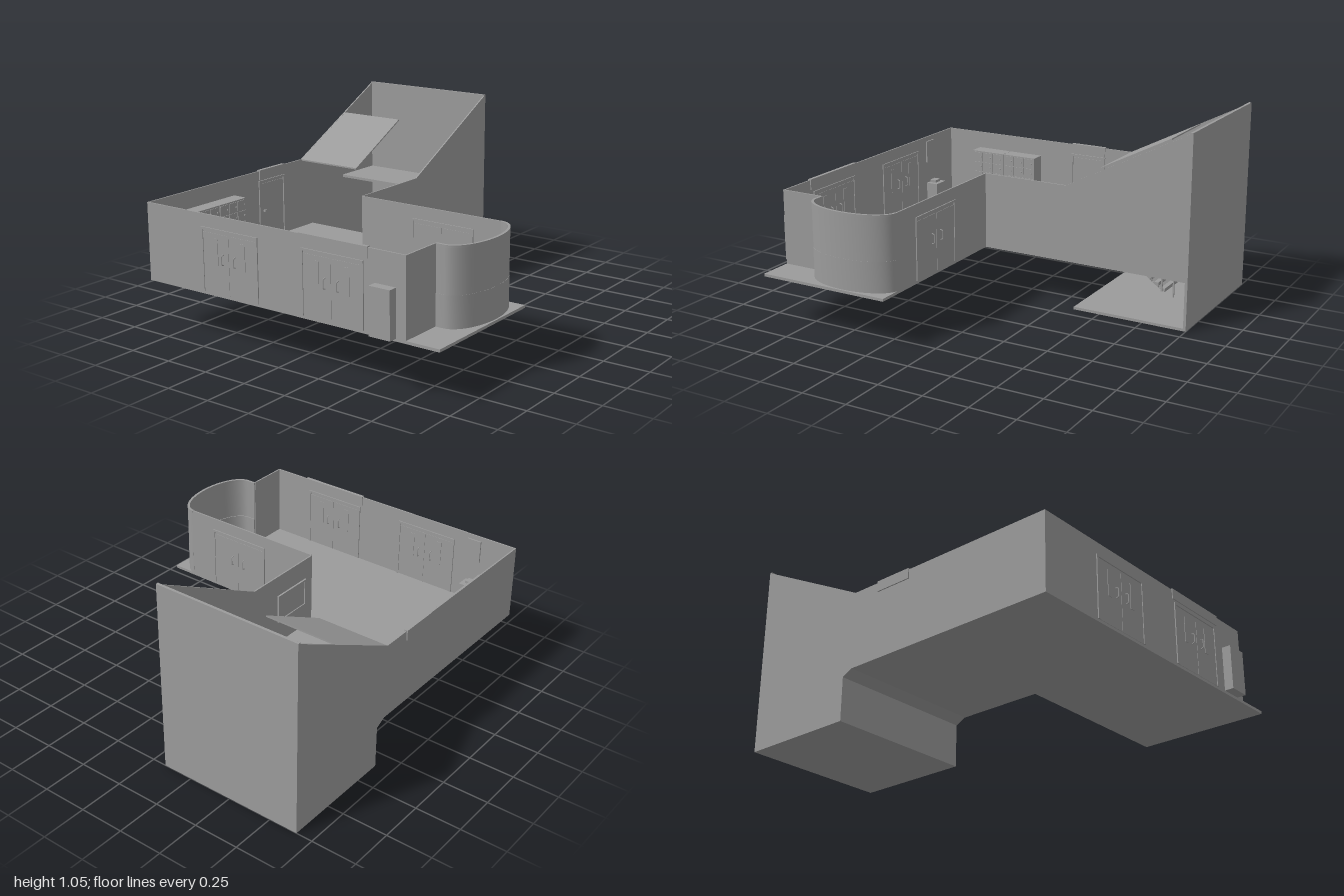
import * as THREE from 'three';
import { toCreasedNormals } from 'three/addons/utils/BufferGeometryUtils.js';

const COLOR = 0x9b9b9b;
const mat = new THREE.MeshStandardMaterial({ color: COLOR, side: THREE.DoubleSide });
const oneSided = new THREE.MeshStandardMaterial({ color: COLOR });
const FLOOR = 0.28, BASE = 0.265, TOP = 0.687, T = 0.008;

export function createModel() {
  const model = new THREE.Group();

  const add = (name, geometry, parent = model, material = mat) => {
    const mesh = new THREE.Mesh(geometry, material);
    mesh.name = name;
    parent.add(mesh);
    return mesh;
  };
  // Box given by its limits on each axis
  const box = (name, x0, x1, y0, y1, z0, z1, parent) => {
    const g = new THREE.BoxGeometry(x1 - x0, y1 - y0, z1 - z0);
    g.translate((x0 + x1) / 2, (y0 + y1) / 2, (z0 + z1) / 2);
    return add(name, g, parent);
  };
  const shapeOf = (pts) => new THREE.Shape(pts.map(([x, y]) => new THREE.Vector2(x, y)));
  // Upright slab in the xy plane
  const slab = (name, pts, z0, z1) => {
    const g = new THREE.ExtrudeGeometry(shapeOf(pts), { depth: z1 - z0, bevelEnabled: false });
    g.translate(0, 0, z0);
    return add(name, g);
  };
  // Plan outline (x, z) raised from y0 to y1
  const raised = (name, pts, y0, y1, smooth) => {
    let g = new THREE.ExtrudeGeometry(shapeOf(pts), { depth: y1 - y0, bevelEnabled: false });
    g.rotateX(Math.PI / 2).translate(0, y1, 0);
    if (smooth) g = toCreasedNormals(g, 0.6);
    return add(name, g);
  };
  const tube = (name, pts, r, parent) => {
    const path = new THREE.CurvePath();
    const v = pts.map((p) => new THREE.Vector3(...p));
    for (let i = 1; i < v.length; i++) path.add(new THREE.LineCurve3(v[i - 1], v[i]));
    return add(name, new THREE.TubeGeometry(path, (v.length - 1) * 4, r, 6), parent);
  };

  // Floors
  raised('upperFloor', [[-0.95, -0.91], [0.29, -0.91], [0.29, -0.49], [0.38, -0.49],
    [0.38, -0.08], [-0.2, -0.08], [-0.2, 0.91], [-0.95, 0.91]], BASE, FLOOR);
  box('lowerFloor', 0.35, 1, 0, 0.015, -0.91, -0.08);

  // Straight walls, rising over the stairwell
  slab('backWall', [[-0.95, BASE], [0.29, BASE], [0.35, 0.235], [0.35, 0], [1, 0],
    [1, 1.055], [0.29, TOP], [-0.95, TOP]], -0.91, -0.91 + T);
  slab('stairFrontWall', [[-0.2, BASE], [1, BASE], [1, 1.055], [0.29, TOP], [-0.2, TOP]],
    -0.08 - T, -0.08);
  box('stairEndWall', 0.985, 1, 0, 1.055, -0.91, -0.08);
  box('longWall', -0.95, -0.95 + T, BASE, TOP, -0.91, 0.725);
  box('shortFrontWall', -0.95, -0.71, BASE, TOP, 0.725 - T, 0.725);
  box('doorWall', -0.2 - T, -0.2, BASE, TOP, -0.08, 0.77);

  // Wall and sloping soffit that close the stairwell below the upper floor
  add('stairwellSideWall', new THREE.PlaneGeometry(0.83, 0.235).rotateY(-Math.PI / 2)
    .translate(0.35, 0.1175, -0.495), model, oneSided);
  add('stairwellSoffit', new THREE.PlaneGeometry(0.83, 0.067).rotateY(-Math.PI / 2)
    .rotateZ(Math.atan2(0.06, 0.03)).translate(0.32, 0.25, -0.495), model, oneSided);

  // Rounded bay: ribbon between an outer and an inner curve
  const bayCurve = (inset) => {
    const pts = [[-0.71 + inset, 0.72]];
    for (let i = 0; i <= 24; i++) {
      const a = Math.PI * (1 - i / 24);
      pts.push([-0.455 + (0.255 - inset) * Math.cos(a), 0.77 + (0.13 - inset) * Math.sin(a)]);
    }
    return pts;
  };
  const ribbon = (outer, inner) => [...bayCurve(outer), ...bayCurve(inner).reverse()];
  raised('bayWall', ribbon(0, T), FLOOR, TOP, true);
  raised('baySill', ribbon(-0.001, T + 0.005), FLOOR, 0.445, true);
  raised('bayHead', ribbon(-0.001, T + 0.005), 0.675, TOP, true);

  // Sloping ceiling over the lower flight
  slab('stairCeiling', [[0.29, TOP - 0.008], [0.29, TOP], [0.71, 0.904], [0.71, 0.896]], -0.905, -0.5);

  // Flights: saw-toothed slabs, one going up and one going down
  const flight = (name, x0, y0, rise, z0, z1) => {
    const run = 0.04, n = 8, pts = [[x0, y0]];
    for (let i = 0; i < n; i++) {
      pts.push([x0 + i * run, y0 + (i + 1) * rise], [x0 + (i + 1) * run, y0 + (i + 1) * rise]);
    }
    const end = pts[pts.length - 1];
    pts.push([end[0], end[1] - 0.02], [x0, y0 - 0.015]);
    slab(name, pts, z0, z1);
  };
  flight('upperFlight', 0.38, FLOOR, 0.03, -0.465, -0.088);
  flight('lowerFlight', 0.38, FLOOR, -0.029, -0.902, -0.5);
  box('lowerFlightTop', 0.29, 0.38, BASE, FLOOR, -0.902, -0.49);
  box('halfLanding', 0.68, 0.985, 0.505, 0.52, -0.902, -0.088);

  // Banister between the flights
  const railY = (x) => 0.385 - (x - 0.33) * 0.64;
  tube('banisterRail', [[0.33, railY(0.33), -0.48], [0.73, railY(0.73), -0.48],
    [0.77, railY(0.73), -0.48]], 0.006);
  for (let i = 0; i < 7; i++) {
    const x = 0.34 + i * 0.07;
    const foot = Math.max(0.015, FLOOR - Math.max(0, x - 0.38) * 0.78);
    box('banisterPost', x - 0.004, x + 0.004, foot, railY(Math.min(x, 0.73)), -0.484, -0.476);
  }

  // Double doors set in a wall running along z
  const doubleDoor = (name, x, zc, slits) => {
    const door = new THREE.Group();
    door.name = name;
    door.position.set(x, 0, zc);
    model.add(door);
    const w = 0.18, h = 0.62, d = 0.01;
    for (const s of [-1, 1]) {
      const z = s * w, m = s * w / 2;
      box('doorJamb', -d, d, FLOOR, h, z - 0.006, z + 0.006, door);
      box('doorLeaf', -0.006, 0.006, FLOOR, h - 0.025, m - 0.084, m + 0.084, door);
      if (slits) box('doorSlit', -0.009, 0.009, 0.43, 0.57, m - 0.014, m + 0.014, door);
      for (const side of [-1, 1]) {
        const a = side * 0.006, b = side * 0.022, zh = s * 0.04;
        tube('doorHandle', [[a, 0.44, zh], [b, 0.445, zh], [b, 0.49, zh], [a, 0.495, zh]], 0.003, door);
      }
      if (!slits) {
        const [z0, z1] = [s * 0.045, s * 0.125];
        tube('pushBar', [[-0.005, 0.45, z0], [-0.025, 0.45, z0 + s * 0.008],
          [-0.025, 0.45, z1 - s * 0.008], [-0.005, 0.45, z1]], 0.003, door);
      }
    }
    box('doorHead', -d, d, h - 0.012, h, -w, w, door);
  };
  doubleDoor('entranceDoors', -0.2 - T / 2, 0.425, false);
  doubleDoor('longWallDoorsBack', -0.95 + T / 2, -0.345, true);
  doubleDoor('longWallDoorsFront', -0.95 + T / 2, 0.3, true);

  // Single door in the back wall
  for (const x of [-0.09, 0.12]) box('backDoorJamb', x - 0.006, x + 0.006, FLOOR, 0.63, -0.903, -0.895);
  box('backDoorHead', -0.09, 0.12, 0.618, 0.63, -0.903, -0.895);
  box('backDoorLeaf', -0.08, 0.11, FLOOR, 0.61, -0.903, -0.899);
  box('backDoorHandle', -0.065, -0.045, 0.445, 0.455, -0.899, -0.885);

  // Plain panels at the wall heads
  box('backWallPanel', -0.09, 0.125, 0.635, 0.692, -0.916, -0.896);
  box('longWallPanel', -0.955, -0.936, 0.635, 0.692, 0.1, 0.51);

  // Lockers with doors and knobs
  for (const x0 of [-0.73, -0.515]) {
    const unit = new THREE.Group();
    unit.name = 'lockerUnit';
    model.add(unit);
    box('lockerBody', x0, x0 + 0.213, FLOOR, 0.59, -0.902, -0.816, unit);
    for (let c = 0; c < 3; c++) for (let r = 0; r < 5; r++) {
      const x = x0 + 0.007 + c * 0.068, y = FLOOR + 0.008 + r * 0.06;
      box('lockerDoor', x, x + 0.063, y, y + 0.054, -0.816, -0.812, unit);
      box('lockerKnob', x + 0.048, x + 0.055, y + 0.024, y + 0.031, -0.812, -0.806, unit);
    }
  }

  // Pedestal with a small box on top, and a frame above it
  box('pedestal', -0.942, -0.87, FLOOR, 0.4, -0.715, -0.62);
  box('pedestalBox', -0.935, -0.895, 0.4, 0.415, -0.695, -0.645);
  box('wallFrame', -0.942, -0.934, 0.53, 0.66, -0.7, -0.615);

  // Framed board on the inside of the stair front wall
  box('wallBoard', -0.13, 0.09, 0.42, 0.56, -0.092, -0.087);
  for (const y of [0.41, 0.56]) box('boardRail', -0.14, 0.1, y, y + 0.012, -0.098, -0.087);
  for (const x of [-0.14, 0.088]) box('boardStile', x, x + 0.012, 0.41, 0.572, -0.098, -0.087);

  // Cabinet outside the long wall
  box('outsideCabinet', -1, -0.945, FLOOR, 0.525, 0.55, 0.67);

  return model;
}
